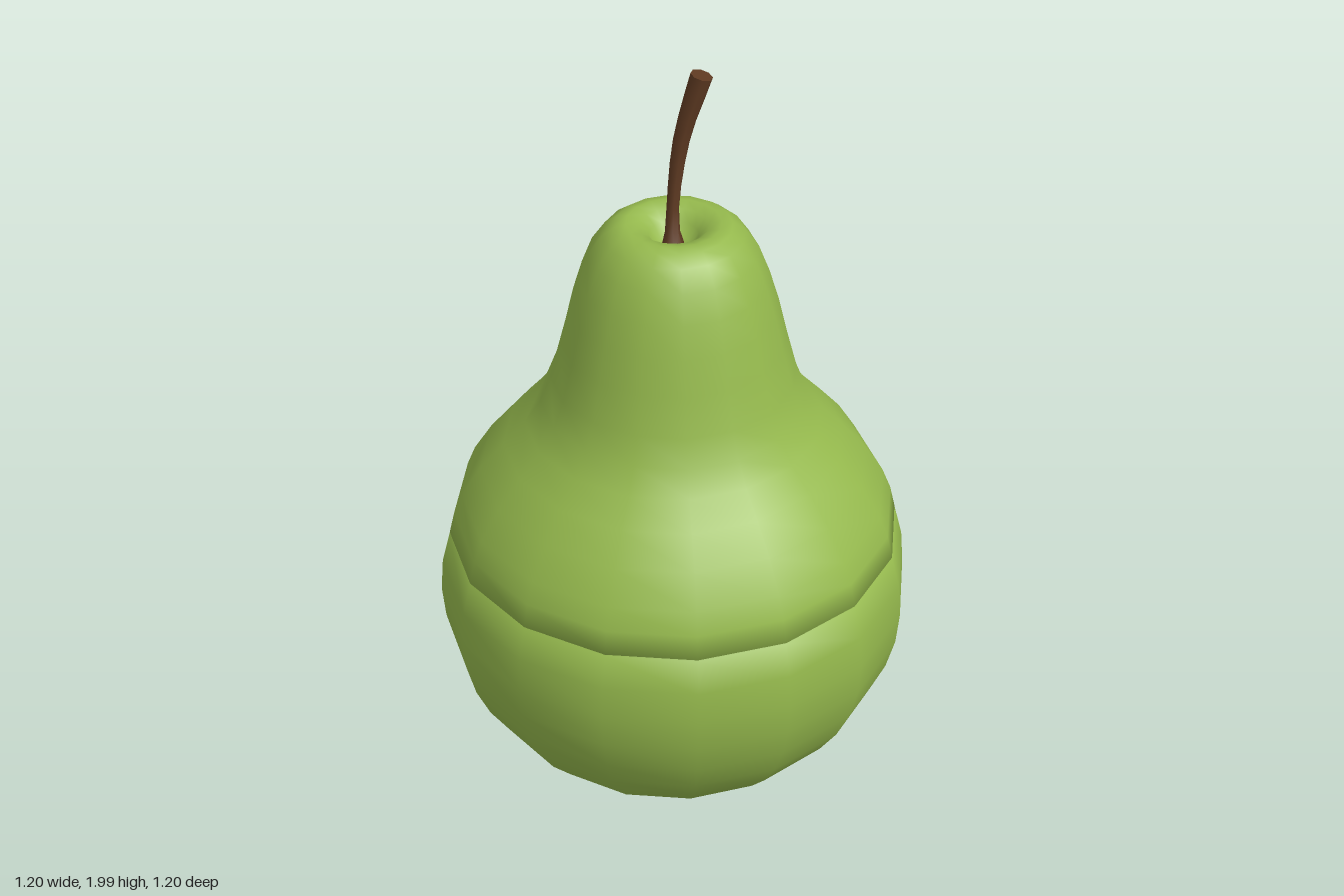
import * as THREE from 'three';
import { toCreasedNormals } from 'three/addons/utils/BufferGeometryUtils.js';

const SIDES = 16;
const green = new THREE.MeshStandardMaterial({ color: 0x95b94d, name: 'pearGreen' });
const brown = new THREE.MeshStandardMaterial({ color: 0x5e3a22, name: 'stemBrown' });

function lathe(name, points) {
  const geo = new THREE.LatheGeometry(points.map(([r, y]) => new THREE.Vector2(r, y)), SIDES);
  const mesh = new THREE.Mesh(geo, green);
  mesh.name = name;
  return mesh;
}

// Arc of the round bowl, from the bottom pole up to the rim
function bowlArc(rx, ry, rimY, steps = 12) {
  const cy = 0.57;
  const end = Math.PI / 2 + Math.asin((rimY - cy) / ry);
  return Array.from({ length: steps + 1 }, (_, i) => {
    const a = (end * i) / steps;
    return [rx * Math.sin(a), cy - ry * Math.cos(a)];
  });
}

// Cylinder bent along a curve, with its radius varying from base to tip
function makeStem() {
  const curve = new THREE.CatmullRomCurve3([
    new THREE.Vector3(0, 1.53, 0),
    new THREE.Vector3(-0.012, 1.63, -0.01),
    new THREE.Vector3(-0.004, 1.82, -0.033),
    new THREE.Vector3(0.034, 1.99, -0.06),
  ]);
  const radii = [0.034, 0.018, 0.015, 0.016, 0.018, 0.02, 0.022, 0.025, 0.027];
  const rows = radii.length - 1;
  const geo = new THREE.CylinderGeometry(1, 1, 1, 8, rows);
  const pos = geo.attributes.position;
  const up = new THREE.Vector3(0, 1, 0);
  const v = new THREE.Vector3();
  const q = new THREE.Quaternion();
  for (let i = 0; i < pos.count; i++) {
    v.fromBufferAttribute(pos, i);
    const t = THREE.MathUtils.clamp(v.y + 0.5, 0, 1);
    const r = radii[Math.round(t * rows)];
    q.setFromUnitVectors(up, curve.getTangentAt(t));
    v.set(v.x * r, 0, v.z * r).applyQuaternion(q).add(curve.getPointAt(t));
    pos.setXYZ(i, v.x, v.y, v.z);
  }
  const mesh = new THREE.Mesh(toCreasedNormals(geo, 0.95), brown);
  mesh.name = 'stem';
  return mesh;
}

export function createModel() {
  const model = new THREE.Group();
  model.name = 'pearJar';

  // Hollow bowl: outer wall, rim, inner wall
  model.add(lathe('bowl', [
    ...bowlArc(0.6, 0.565, 0.742),
    ...bowlArc(0.56, 0.525, 0.742).reverse(),
  ]));

  // Hollow lid: inner wall, lower edge, pear-shaped neck, dimple
  model.add(lathe('lid', [
    [0, 1.46], [0.12, 1.46], [0.18, 1.38], [0.24, 1.2], [0.36, 1.0], [0.47, 0.86], [0.53, 0.745],
    [0.571, 0.745], [0.557, 0.805], [0.535, 0.86], [0.485, 0.94], [0.425, 1.01],
    [0.37, 1.07], [0.33, 1.13], [0.303, 1.2], [0.277, 1.3], [0.256, 1.39], [0.232, 1.47],
    [0.205, 1.54], [0.172, 1.588], [0.142, 1.61], [0.115, 1.616], [0.085, 1.607],
    [0.06, 1.585], [0.04, 1.555], [0, 1.54],
  ]));

  model.add(makeStem());
  return model;
}
